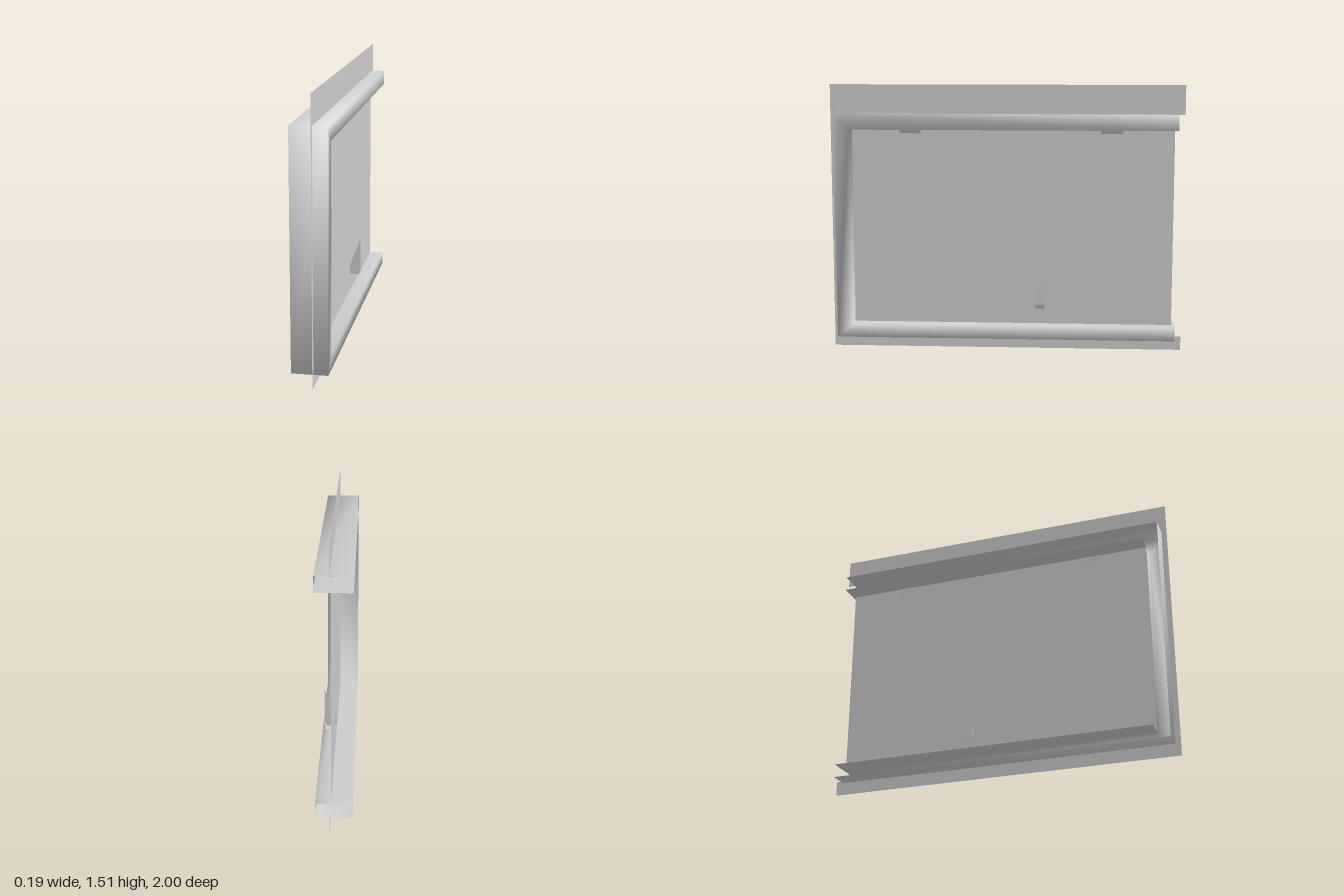
import * as THREE from 'three';

const material = new THREE.MeshStandardMaterial({ color: 0xcccccc, side: THREE.DoubleSide });

const HALF = 0.097;      // half depth of the frame
const PANEL_X = 0.015;
const SHEET_X = 0.02;
const BACK = -0.96;      // open end of the frame
const outer = { front: 0.97, top: 1.35, bottom: 0.07 };
const inner = { front: 0.88, top: 1.265, bottom: 0.145 };

function addMesh(group, name, geometry) {
  const mesh = new THREE.Mesh(geometry, material);
  mesh.name = name;
  group.add(mesh);
  return mesh;
}

// Joins rows of points into a surface with shared vertices
function skin(rows) {
  const n = rows[0].length;
  const index = [];
  for (let i = 0; i < rows.length - 1; i++) {
    for (let j = 0; j < n - 1; j++) {
      const a = i * n + j, b = a + n;
      index.push(a, b, a + 1, b, b + 1, a + 1);
    }
  }
  const geometry = new THREE.BufferGeometry();
  geometry.setAttribute('position', new THREE.Float32BufferAttribute(rows.flat(2), 3));
  geometry.setIndex(index);
  geometry.computeVertexNormals();
  return geometry;
}

// Flat outline in (z, y), standing at the given x and facing +x
function flatSheet(points, x) {
  const shape = new THREE.Shape(points.map(([z, y]) => new THREE.Vector2(-z, y)));
  return new THREE.ShapeGeometry(shape).rotateY(Math.PI / 2).translate(x, 0, 0);
}

// Outline in (x, y), extruded between two z positions
function prism(points, z0, z1) {
  const shape = new THREE.Shape(points.map(([x, y]) => new THREE.Vector2(x, y)));
  return new THREE.ExtrudeGeometry(shape, { depth: z1 - z0, bevelEnabled: false }).translate(0, 0, z0);
}

export function createModel() {
  const model = new THREE.Group();
  model.name = 'slidingPanelFrame';

  // Surrounding sheet: a C-shaped border, open at the back
  addMesh(model, 'wallSheet', flatSheet([
    [1, 0], [-1, 0], [-1, 0.08], [BACK, 0.08], [BACK, outer.bottom], [outer.front, outer.bottom],
    [outer.front, outer.top], [-1, outer.top], [-1, 1.515], [1, 1.515],
  ], SHEET_X));

  // Channel running along the top, down the front and back along the bottom
  const profile = [[-HALF, outer], [HALF, outer], [HALF, inner], [PANEL_X, inner]];
  const stations = [[false, 'top'], [true, 'top'], [true, 'bottom'], [false, 'bottom']];
  addMesh(model, 'channelFrame', skin(stations.map(([atFront, edge]) =>
    profile.map(([x, side]) => [x, side[edge], atFront ? side.front : BACK]))));

  // Inner shelves behind the panel
  for (const edge of ['top', 'bottom']) {
    const length = inner.front - BACK;
    const shelf = addMesh(model, edge + 'Shelf',
      new THREE.PlaneGeometry(PANEL_X + HALF, length).rotateX(-Math.PI / 2));
    shelf.position.set((PANEL_X - HALF) / 2, inner[edge], (inner.front + BACK) / 2);
  }

  // Sliding panel
  addMesh(model, 'panel', flatSheet([
    [inner.front, inner.bottom], [-0.945, inner.bottom], [-0.945, inner.top], [inner.front, inner.top],
  ], PANEL_X));

  // Wedge stops under the top rail
  for (const z of [0.545, -0.595]) {
    addMesh(model, 'stop', prism(
      [[PANEL_X - 0.003, 1.24], [0.022, 1.24], [0.04, 1.266], [PANEL_X - 0.003, 1.266]], z - 0.06, z + 0.06));
  }

  // Pull handle: bent strip with a gusset on its front side
  const handle = new THREE.Group();
  handle.name = 'handle';
  model.add(handle);
  const zBack = -0.22, zFront = -0.165;
  const strip = [[0.077, 0.465], [0.077, 0.275], [0.066, 0.243], [0.01, 0.25]];
  addMesh(handle, 'handleStrip', skin([zBack, zFront].map((z) => strip.map(([x, y]) => [x, y, z])).reverse()));
  const gusset = new THREE.Shape([...strip, [0.01, 0.29]].map(([x, y]) => new THREE.Vector2(x, y)));
  addMesh(handle, 'handleGusset', new THREE.ShapeGeometry(gusset).translate(0, 0, zFront));

  return model;
}
